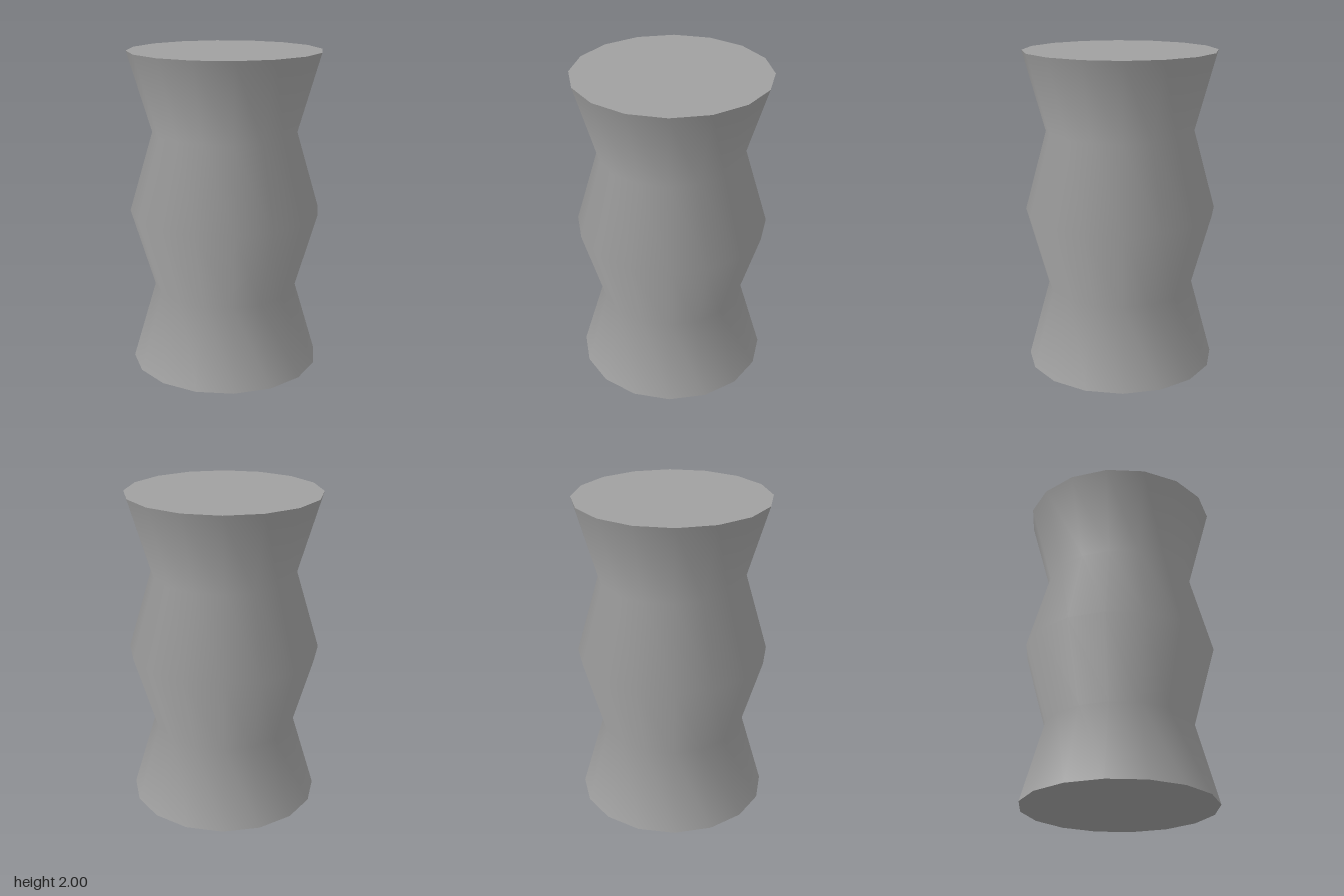
import * as THREE from 'three';

const SIDES = 16, RADIUS = 0.6, WAIST = 0.45;

export function createModel() {
  const group = new THREE.Group();
  group.name = 'wavyColumn';
  const grey = new THREE.MeshStandardMaterial({ color: 0xa0a0a0 });
  grey.name = 'grey';

  const add = (name, geometry) => {
    const mesh = new THREE.Mesh(geometry, grey);
    mesh.name = name;
    group.add(mesh);
    return mesh;
  };

  // Smooth side wall, alternating between wide rims and narrow waists
  const profile = [];
  for (let i = 0; i <= 4; i++) {
    profile.push(new THREE.Vector2(i % 2 ? WAIST : RADIUS, i * 0.5));
  }
  const wall = new THREE.LatheGeometry(profile, SIDES);

  // The waists are slightly deeper front to back than they are wide
  const pos = wall.attributes.position;
  for (let i = 0; i < pos.count; i++) {
    if (pos.getY(i) % 1 === 0.5) pos.setZ(i, pos.getZ(i) * 1.03);
  }
  add('column', wall);

  // Flat end caps
  const cap = new THREE.CircleGeometry(RADIUS, SIDES);
  const top = add('topCap', cap);
  top.rotation.x = -Math.PI / 2;
  top.position.y = 2;
  add('bottomCap', cap).rotation.x = Math.PI / 2;

  return group;
}
